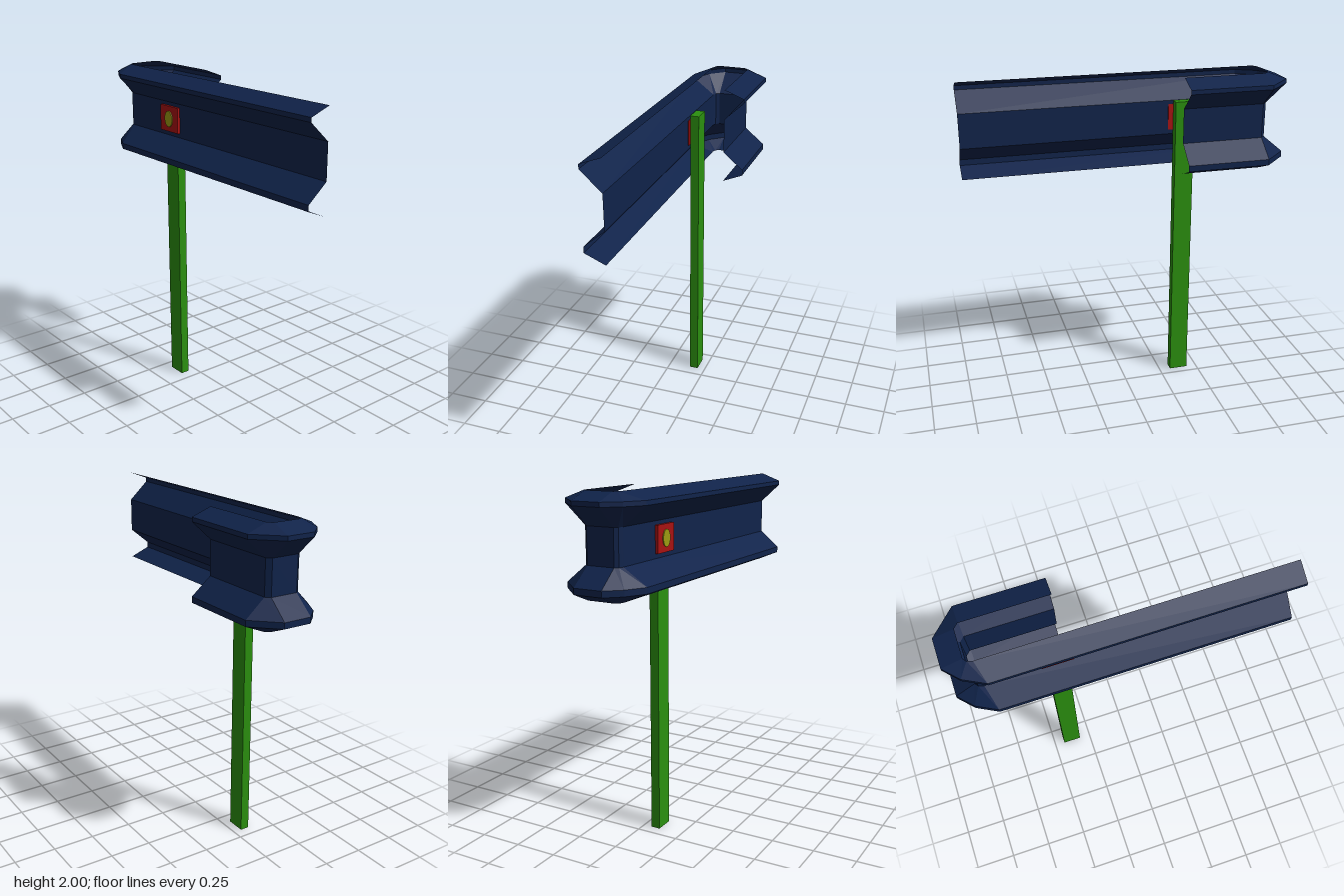
import * as THREE from 'three';

const paint = (color, extra = {}) => new THREE.MeshStandardMaterial({ color, ...extra });

// Plan of the rail: [web x, web z, ridge x, ridge z], from the back end round to the front end
const plan = [
  [-0.315, -0.11, -0.315, -0.23],
  [-0.805, -0.11, -0.81, -0.23],
  [-0.83, -0.085, -0.95, -0.09],
  [-0.83, 0.08, -0.95, 0.08],
  [-0.815, 0.1, -0.87, 0.165],
  [-0.785, 0.108, -0.75, 0.228],
  [0.95, 0.108, 0.95, 0.228],
];

// Rail section: [share of the way from web to ridge, y], top to bottom
const section = [
  [0, 2], [1, 1.955], [1, 1.93], [0, 1.82],
  [0, 1.615], [1, 1.515], [1, 1.48], [0, 1.43],
];

// Folded sheet swept along the plan
function railGeometry() {
  const positions = [];
  const index = [];
  const n = section.length;
  plan.forEach(([wx, wz, rx, rz], i) => {
    section.forEach(([t, y], j) => {
      positions.push(wx + (rx - wx) * t, y, wz + (rz - wz) * t);
      if (i < plan.length - 1 && j < n - 1) {
        const a = i * n + j;
        const b = a + n;
        index.push(a, a + 1, b + 1, a, b + 1, b);
      }
    });
  });
  const indexed = new THREE.BufferGeometry();
  indexed.setAttribute('position', new THREE.Float32BufferAttribute(positions, 3));
  indexed.setIndex(index);
  const geometry = indexed.toNonIndexed();
  geometry.computeVertexNormals();
  return geometry;
}

export function createModel() {
  const group = new THREE.Group();
  const add = (name, geometry, material, x = 0, y = 0, z = 0) => {
    const mesh = new THREE.Mesh(geometry, material);
    mesh.name = name;
    mesh.position.set(x, y, z);
    group.add(mesh);
    return mesh;
  };

  add('guardRail', railGeometry(), paint(0x10234a, { side: THREE.DoubleSide, flatShading: true }));

  // Post behind the front web
  add('post', new THREE.BoxGeometry(0.115, 1.82, 0.054), paint(0x2b900f), -0.378, 0.91, 0.078);

  // Reflector plate with an oval lens
  add('reflectorPlate', new THREE.BoxGeometry(0.176, 0.156, 0.022), paint(0xa81212), -0.378, 1.72, 0.114);
  const lens = add('reflectorLens', new THREE.CylinderGeometry(1, 1, 1, 24), paint(0x9c9a12), -0.378, 1.72, 0.126);
  lens.rotation.x = Math.PI / 2;
  lens.scale.set(0.038, 0.01, 0.049);

  return group;
}
